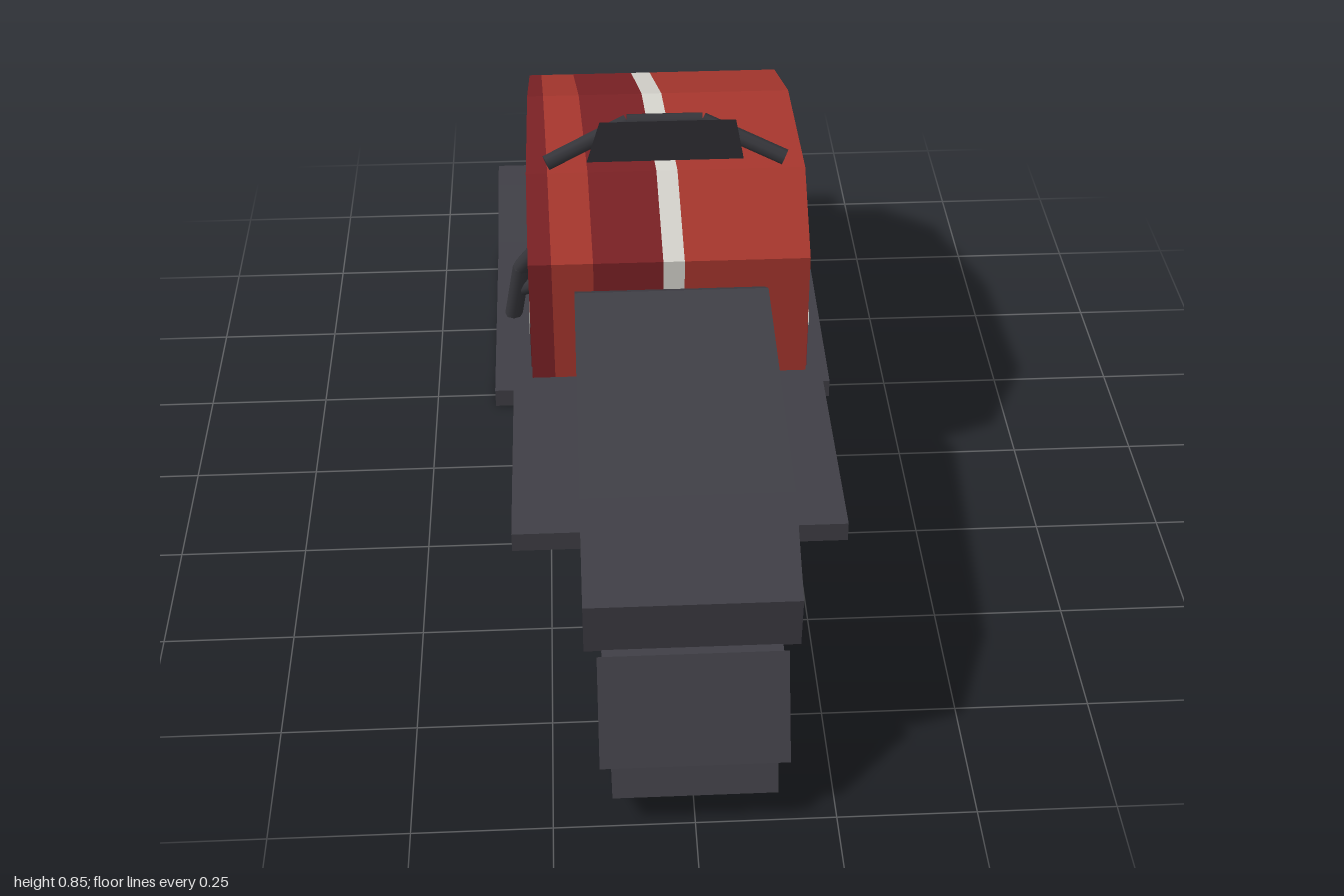
import * as THREE from 'three';

const material = (name, color, side = THREE.FrontSide) => {
  const m = new THREE.MeshStandardMaterial({ color, side });
  m.name = name;
  return m;
};
const red = material('red paint', 0xa8372e, THREE.DoubleSide);
const darkRed = material('dark red paint', 0x7c2225, THREE.DoubleSide);
const white = material('white stripe', 0xd8d6cf, THREE.DoubleSide);
const graphite = material('graphite', 0x403f46, THREE.DoubleSide);
const panelGrey = material('panel grey', 0x3f4145, THREE.DoubleSide);
const barGrey = material('bar grey', 0x36363b);

// Side profiles are lists of [z, y]
const sideShape = (points) => new THREE.Shape(points.map(([z, y]) => new THREE.Vector2(-z, y)));

export function createModel() {
  const model = new THREE.Group();
  model.name = 'snowmobile';

  const add = (name, geometry, mat, parent = model) => {
    const mesh = new THREE.Mesh(geometry, mat);
    mesh.name = name;
    parent.add(mesh);
    return mesh;
  };
  // Side profile extruded across x, centred on cx
  const slab = (name, points, width, mat, cx = 0) => {
    const g = new THREE.ExtrudeGeometry(sideShape(points), { depth: width, bevelEnabled: false });
    g.rotateY(Math.PI / 2).translate(cx - width / 2, 0, 0);
    return add(name, g, mat);
  };
  // Flat side profile standing at x
  const sidePlate = (name, points, x, mat) =>
    add(name, new THREE.ShapeGeometry(sideShape(points)).rotateY(Math.PI / 2).translate(x, 0, 0), mat);
  // Rod through a list of [x, y, z] points
  const rod = (name, points, radius, mat) => {
    const group = new THREE.Group();
    group.name = name;
    model.add(group);
    const p = points.map((q) => new THREE.Vector3(...q));
    for (let i = 0; i + 1 < p.length; i++) {
      const dir = p[i + 1].clone().sub(p[i]);
      const m = add(name + 'Segment', new THREE.CylinderGeometry(radius, radius, dir.length(), 8), mat, group);
      m.position.copy(p[i]).addScaledVector(dir, 0.5);
      m.quaternion.setFromUnitVectors(new THREE.Vector3(0, 1, 0), dir.normalize());
    }
  };
  // Flat trapezoid symmetric in x, from a lower edge to an upper edge
  const trapezoid = (name, [w0, y0, z0], [w1, y1, z1], mat) => {
    const g = new THREE.BufferGeometry();
    g.setAttribute('position', new THREE.Float32BufferAttribute(
      [-w0, y0, z0, w0, y0, z0, w1, y1, z1, -w0, y0, z0, w1, y1, z1, -w1, y1, z1], 3));
    g.computeVertexNormals();
    return add(name, g, mat);
  };

  // Track, tunnel and seat
  slab('track', [[0.9, 0.018], [-0.2, 0.018], [-0.3, 0.07], [-0.33, 0.145], [-0.27, 0.21],
    [0.86, 0.21], [0.97, 0.155], [1, 0.07]], 0.29, graphite);
  slab('tunnel', [[0.9, 0.21], [-0.23, 0.21], [-0.23, 0.31], [0.9, 0.31]], 0.314, graphite);
  slab('seat', [[0.88, 0.308], [0, 0.308], [0, 0.45], [0.08, 0.505], [0.16, 0.557],
    [0.72, 0.515], [0.89, 0.418]], 0.376, graphite);
  trapezoid('snowFlap', [0.166, 0.128, 0.985], [0.166, 0.313, 0.9], graphite);

  // Hood shell: the profile is swept across x in painted bands that drift sideways towards the nose
  const hood = [[0.08, 0.295], [-0.56, 0.295], [-0.81, 0.268], [-0.86, 0.39], [-0.71, 0.555],
    [-0.42, 0.665], [-0.07, 0.688], [0.08, 0.57]];
  const halfHood = 0.278;
  const rear = [-halfHood, -0.232, -0.15, -0.012, 0.03, halfHood];
  const nose = [-halfHood, -0.255, -0.185, -0.055, -0.013, halfHood];
  const bandMaterials = [darkRed, red, darkRed, white, red];
  const bandX = (k, z) => THREE.MathUtils.lerp(rear[k], nose[k], (0.08 - z) / 0.94);
  bandMaterials.forEach((mat, k) => {
    const pos = [];
    hood.forEach(([z0, y0], i) => {
      const [z1, y1] = hood[(i + 1) % hood.length];
      const a = [bandX(k, z0), y0, z0], b = [bandX(k + 1, z0), y0, z0];
      const c = [bandX(k + 1, z1), y1, z1], d = [bandX(k, z1), y1, z1];
      pos.push(...a, ...d, ...c, ...a, ...c, ...b);
    });
    const g = new THREE.BufferGeometry();
    g.setAttribute('position', new THREE.Float32BufferAttribute(pos, 3));
    g.computeVertexNormals();
    add('hoodBand' + (k + 1), g, mat);
  });

  // Parts on both sides
  for (const [s, side] of [[1, 'left'], [-1, 'right']]) {
    // Hood cheek with painted stripes and vent panel
    sidePlate(side + 'HoodSide', hood, s * halfHood, red);
    sidePlate(side + 'DarkBand', [[0.08, 0.3], [-0.848, 0.362], [-0.859, 0.39], [-0.783, 0.475], [0.08, 0.405]],
      s * (halfHood + 0.001), darkRed);
    sidePlate(side + 'SideStripe', [[0.08, 0.403], [-0.783, 0.475], [-0.751, 0.508], [0.08, 0.438]],
      s * (halfHood + 0.002), white);
    sidePlate(side + 'VentPanel', [[-0.23, 0.315], [-0.485, 0.315], [-0.485, 0.443], [-0.23, 0.428]],
      s * (halfHood + 0.003), panelGrey);

    slab(side + 'RunningBoard', [[0.5, 0.204], [-0.195, 0.204], [-0.195, 0.245], [0.5, 0.245]],
      0.17, graphite, s * 0.234);
    slab(side + 'Ski', [[-0.21, 0], [-0.81, 0.003], [-0.94, 0.062], [-1, 0.14], [-0.91, 0.14],
      [-0.76, 0.07], [-0.21, 0.042]], 0.076, graphite, s * 0.333);

    // Front suspension
    rod(side + 'Spindle', [[s * 0.332, 0.055, -0.485], [s * 0.308, 0.205, -0.455], [s * 0.245, 0.31, -0.415]],
      0.02, barGrey);
    rod(side + 'LowerArm', [[s * 0.31, 0.135, -0.47], [s * 0.15, 0.295, -0.32]], 0.017, barGrey);
  }

  // Handlebar and steering column
  rod('handlebar', [[-0.237, 0.712, -0.07], [-0.075, 0.772, -0.12], [0.075, 0.772, -0.12],
    [0.237, 0.712, -0.07]], 0.016, barGrey);
  rod('steeringColumn', [[0, 0.77, -0.12], [0, 0.67, -0.158]], 0.021, barGrey);

  // Windscreen leaning back over the bars
  trapezoid('windscreen', [0.157, 0.696, -0.095], [0.131, 0.848, 0.01], graphite);

  // Headlight plate and oval lens on the nose
  trapezoid('headlightPlate', [0.125, 0.32, -0.897], [0.105, 0.44, -0.875], panelGrey);
  const lens = add('headlightLens', new THREE.CircleGeometry(1, 24).scale(0.088, 0.042, 1), white);
  lens.rotation.set(Math.atan2(0.022, 0.12), Math.PI, 0);
  lens.position.set(0, 0.38, -0.889);

  return model;
}
